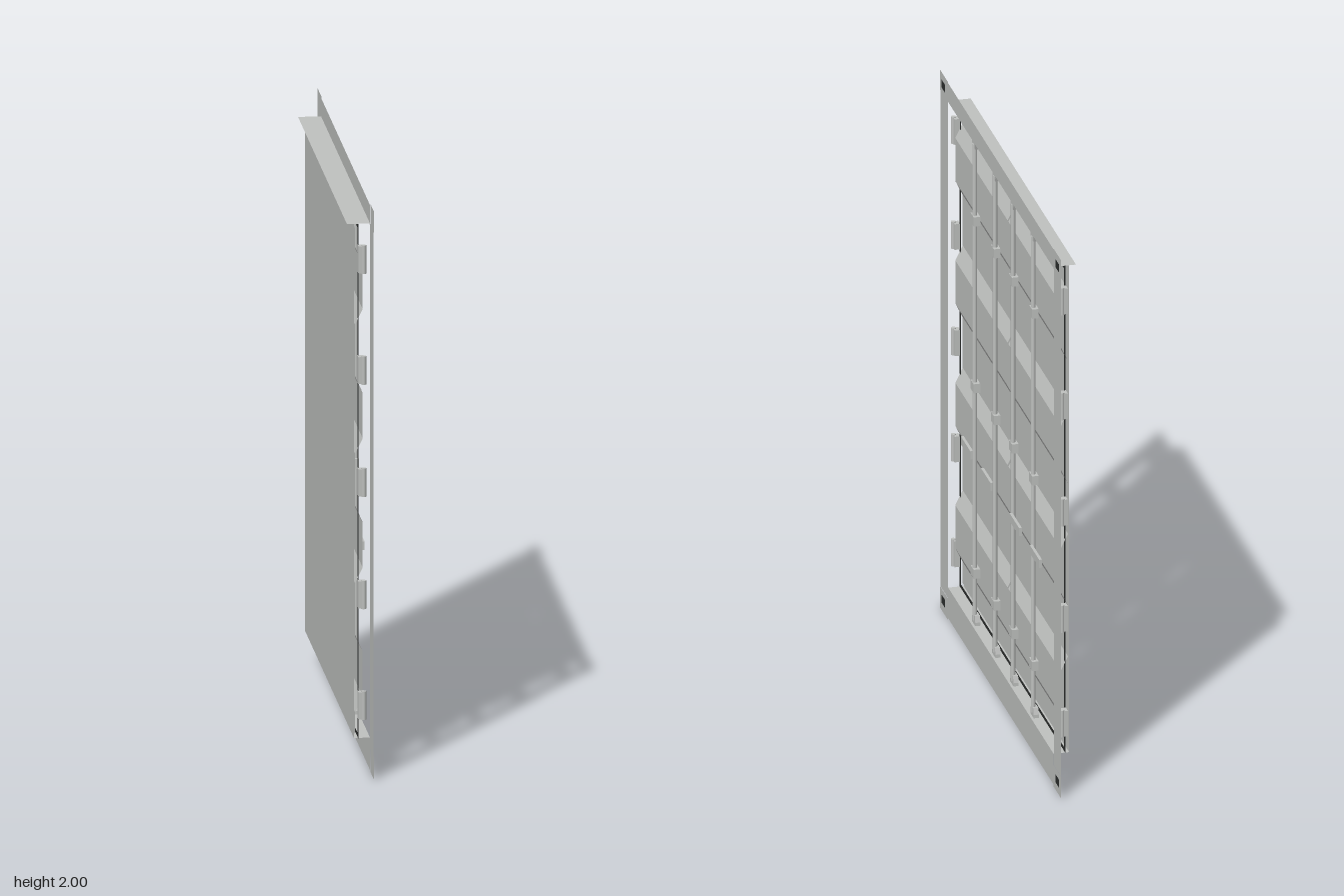
import * as THREE from 'three';

const steel = new THREE.MeshStandardMaterial({ color: 0xc0c2c0, side: THREE.DoubleSide });
steel.name = 'grey steel';
const rubber = new THREE.MeshStandardMaterial({ color: 0x2c2e2d, side: THREE.DoubleSide });
rubber.name = 'black rubber';

// Depths along x: the doors face +x
const FRAME = 0.035, BACK = -0.02, RIDGE = 0.01, VALLEY = -0.016, SEAL = -0.006;
const BOTTOM = 0.12, TOP = 1.93, HALF = 0.73;

function add(parent, name, geometry, material = steel) {
  const mesh = new THREE.Mesh(geometry, material);
  mesh.name = name;
  parent.add(mesh);
  return mesh;
}

// Flat sheet facing +x, given by its limits in z and y
function sheet(parent, name, x, z0, z1, y0, y1, material) {
  const geo = new THREE.PlaneGeometry(Math.abs(z1 - z0), y1 - y0).rotateY(Math.PI / 2);
  geo.translate(x, (y0 + y1) / 2, (z0 + z1) / 2);
  return add(parent, name, geo, material);
}

// Horizontal sheet facing up
function ledge(parent, name, y, x0, x1) {
  const geo = new THREE.PlaneGeometry(x1 - x0, 2 * HALF).rotateX(-Math.PI / 2);
  geo.translate((x0 + x1) / 2, y, 0);
  return add(parent, name, geo);
}

function box(parent, name, x0, x1, y, h, z, d) {
  const geo = new THREE.BoxGeometry(x1 - x0, h, d);
  geo.translate((x0 + x1) / 2, y, z);
  return add(parent, name, geo);
}

// Door skin with four horizontal ridges
function corrugatedSkin(z0, z1) {
  const profile = [[VALLEY, TOP - 0.015]];
  for (let i = 0; i < 4; i++) {
    const y = 1.842 - i * 0.455;
    profile.push([VALLEY, y], [RIDGE, y - 0.053], [RIDGE, y - 0.213], [VALLEY, y - 0.267]);
  }
  profile.push([VALLEY, BOTTOM + 0.012]);
  const geo = new THREE.PlaneGeometry(Math.abs(z1 - z0), 1, 1, profile.length - 1).rotateY(Math.PI / 2);
  const pos = geo.attributes.position;
  for (let i = 0; i < pos.count; i++) {
    const [x, y] = profile[Math.floor(i / 2)];
    pos.setXYZ(i, x, y, pos.getZ(i) + (z0 + z1) / 2);
  }
  const flat = geo.toNonIndexed();
  flat.computeVertexNormals();
  return flat;
}

// Trapezoid keeper at a bar end; dir is +1 at the top and -1 at the bottom
function barKeeper(parent, y, z, dir) {
  const shape = new THREE.Shape();
  shape.moveTo(-0.016, -0.035 * dir);
  shape.lineTo(0.016, -0.035 * dir);
  shape.lineTo(0.023, -0.012 * dir);
  shape.lineTo(0.023, 0);
  shape.lineTo(-0.023, 0);
  shape.lineTo(-0.023, -0.012 * dir);
  const geo = new THREE.ExtrudeGeometry(shape, { depth: 0.018, bevelEnabled: false });
  geo.rotateY(Math.PI / 2).translate(0.01, y, z);
  add(parent, 'barKeeper', geo);
}

function lockingBar(parent, z, s) {
  const bar = new THREE.Group();
  bar.name = 'lockingBar';
  parent.add(bar);
  const rod = new THREE.CylinderGeometry(0.008, 0.008, 1.77, 10).translate(0.024, 1.022, z);
  add(bar, 'rod', rod);
  barKeeper(bar, 1.927, z, 1);
  barKeeper(bar, 0.123, z, -1);
  for (const y of [1.625, 1.005, 0.315]) box(bar, 'barGuide', RIDGE, 0.033, y, 0.034, z, 0.042);
  // Handles reach away from the door centre
  box(bar, 'handle', 0.028, 0.038, 0.747, 0.03, z + s * 0.072, 0.132);
}

function door(parent, s) {
  const leaf = new THREE.Group();
  leaf.name = s > 0 ? 'doorA' : 'doorB';
  parent.add(leaf);
  add(leaf, 'frontSkin', corrugatedSkin(s * 0.006, s * HALF));
  sheet(leaf, 'backSkin', BACK, s * 0.005, s * HALF, BOTTOM, TOP);

  // Rubber seal around the leaf
  sheet(leaf, 'hingeSeal', SEAL, s * 0.715, s * 0.737, BOTTOM, TOP, rubber);
  sheet(leaf, 'centreSeal', SEAL, s * 0.0005, s * 0.012, BOTTOM, TOP, rubber);
  sheet(leaf, 'topSeal', SEAL, s * 0.012, s * 0.715, TOP - 0.017, TOP, rubber);
  sheet(leaf, 'bottomSeal', SEAL, s * 0.012, s * 0.715, BOTTOM, BOTTOM + 0.014, rubber);

  for (const z of [0.125, 0.405]) lockingBar(leaf, s * z, s);
  for (const y of [1.81, 1.42, 1.025, 0.63, 0.24]) {
    box(leaf, 'hinge', -0.008, 0.012, y, 0.095, s * 0.745, 0.028);
    const pin = new THREE.CylinderGeometry(0.009, 0.009, 0.1, 8).translate(0.011, y, s * 0.752);
    add(leaf, 'hingePin', pin);
  }
}

export function createModel() {
  const model = new THREE.Group();
  model.name = 'containerDoorEnd';
  const body = new THREE.Group();
  body.name = 'body';
  body.position.x = 0.003;
  model.add(body);

  // Flat outer frame
  const frame = new THREE.Group();
  frame.name = 'frame';
  body.add(frame);
  sheet(frame, 'topRail', FRAME, -0.735, 0.735, 1.925, 1.995);
  sheet(frame, 'bottomRail', FRAME, -HALF, HALF, 0.006, BOTTOM);
  ledge(frame, 'headerLedge', TOP, -0.044, FRAME);
  ledge(frame, 'sillLedge', BOTTOM, BACK, FRAME);
  for (const s of [-1, 1]) {
    sheet(frame, 'cornerPost', FRAME, s * 0.735, s * 0.836, 0.08, 1.93);
    for (const [y0, y1, slotY] of [[0, 0.08, 0.045], [1.925, 2, 1.96]]) {
      sheet(frame, 'cornerCasting', FRAME + 0.001, s * 0.73, s * 0.84, y0, y1);
      sheet(frame, 'cornerSlot', FRAME + 0.0025, s * 0.766, s * 0.813, slotY - 0.015, slotY + 0.015, rubber)
        .userData.detail = true;
    }
    door(body, s);
  }
  return model;
}
